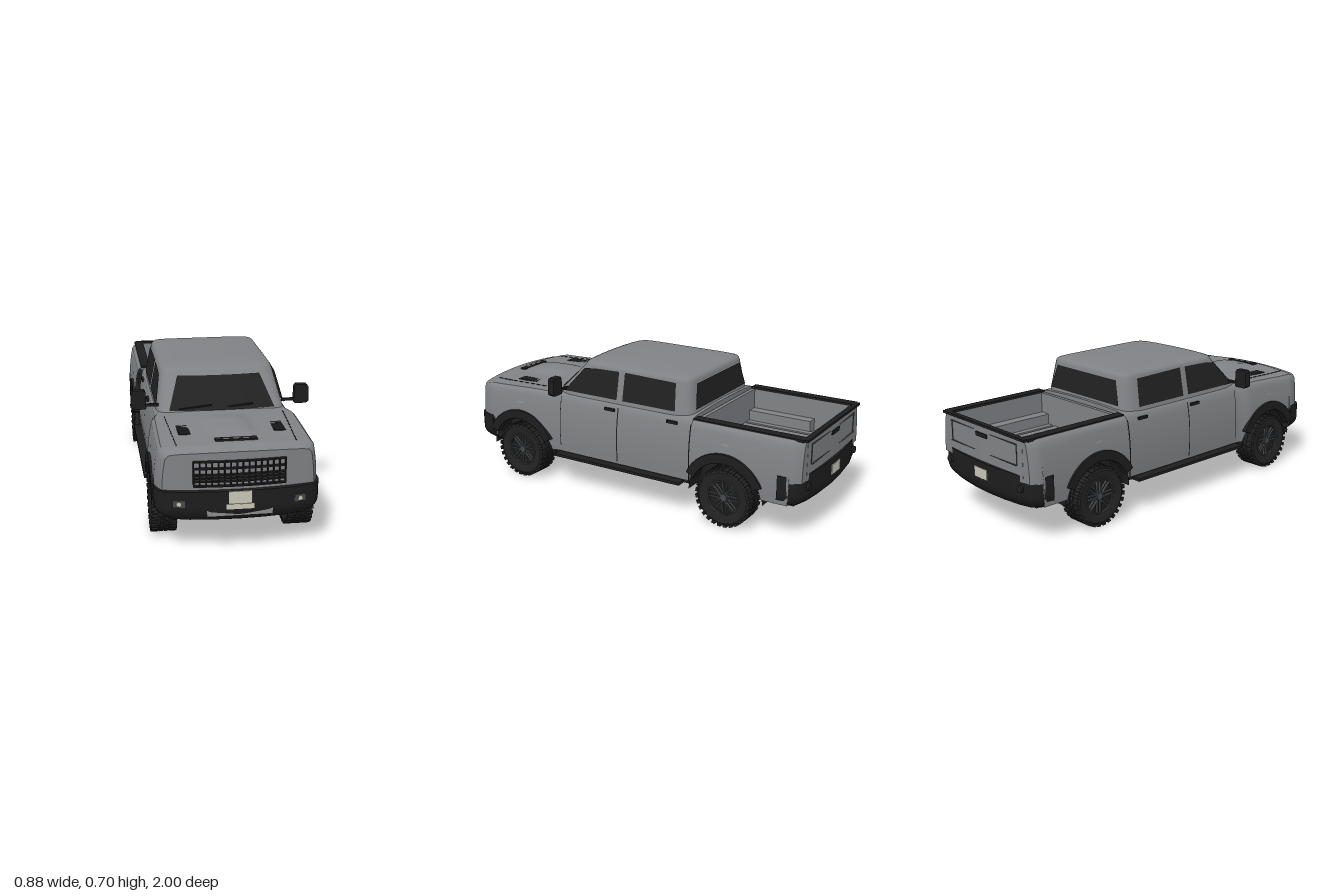
import * as THREE from 'three';
import { toCreasedNormals } from 'three/addons/utils/BufferGeometryUtils.js';

const material = (name, color) => {
  const m = new THREE.MeshStandardMaterial({ color, side: THREE.DoubleSide });
  m.name = name;
  return m;
};
const paint = material('grey paint', 0x808285);
const black = material('black plastic', 0x1d1d1d);
const rubber = material('tyre rubber', 0x232323);
const glass = material('dark glass', 0x212121);
const metal = material('metal', 0x8b8d8f);
const rimGrey = material('rim grey', 0x47494b);
const cream = material('plate cream', 0xc9c7b8);

const AXLES = [0.665, -0.58], HUB_Y = 0.15;
const smooth = THREE.MathUtils.smoothstep;

export function createModel() {
  const truck = new THREE.Group();
  truck.name = 'pickupTruck';
  const add = (name, geo, mat, x = 0, y = 0, z = 0, parent = truck) => {
    const m = new THREE.Mesh(geo, mat);
    m.name = name;
    m.position.set(x, y, z);
    parent.add(m);
    return m;
  };
  const box = (name, mat, w, h, d, x, y, z, parent) => add(name, new THREE.BoxGeometry(w, h, d), mat, x, y, z, parent);

  // Grid surface from a rule giving a point for column i, row j
  const patch = (nu, nv, fn, crease = 0.6) => {
    const pos = [], idx = [];
    for (let i = 0; i <= nu; i++) for (let j = 0; j <= nv; j++) pos.push(...fn(i, j));
    for (let i = 0; i < nu; i++) for (let j = 0; j < nv; j++) {
      const a = i * (nv + 1) + j, b = a + nv + 1;
      idx.push(a, b, a + 1, b, b + 1, a + 1);
    }
    const g = new THREE.BufferGeometry();
    g.setAttribute('position', new THREE.Float32BufferAttribute(pos, 3));
    g.setIndex(idx);
    return toCreasedNormals(g, crease);
  };

  // Body rules: half width, lower edge with wheel openings, belt height, bowed ends
  const width = (y, z) => {
    const fender = Math.max(smooth(z, 0.42, 0.52), z < -0.385 ? 1 : 0);
    const taper = 0.03 * (Math.max(0, (z - 0.88) / 0.095) ** 2 + Math.max(0, (-z - 0.92) / 0.065) ** 2);
    return 0.349 + 0.023 * fender - (y > 0.3 ? 0.6 : 0.4) * (y - 0.3) ** 2 - taper;
  };
  const lowerEdge = z => {
    let y = z > 0.87 || z < -0.93 ? 0.3 : 0.185;
    for (const c of AXLES) if (Math.abs(z - c) < 0.2) y = Math.max(y, HUB_Y + Math.sqrt(0.04 - (z - c) ** 2));
    return y;
  };
  const belt = z => 0.505 - 0.012 * smooth(z, 0.5, 0.9) - 0.016 * smooth(z, 0.9, 0.975);
  const bend = (x, z) => z - 0.28 * x * x * smooth(z, 0.75, 0.97) + 0.12 * x * x * smooth(-z, 0.8, 0.98);
  const hoodY = (x, z) => {
    const scoop = 0.02 * smooth(z, 0.52, 0.66) * (1 - smooth(z, 0.74, 0.9)) * (1 - smooth(Math.abs(x), 0.05, 0.12));
    return belt(z) + 0.013 * (1 - (x / 0.34) ** 2) + scoop;
  };
  const sidePoints = z => {
    const y0 = lowerEdge(z), top = belt(z), pts = [];
    for (let j = 0; j <= 8; j++) {
      const y = y0 + (top - 0.02 - y0) * j / 8;
      pts.push([width(y, z), y]);
    }
    const w = width(top, z);
    pts.push([w - 0.003, top - 0.009], [w - 0.012, top - 0.001]);
    return pts;
  };
  const frontSection = z => [...sidePoints(z), ...[0.28, 0.2, 0.14, 0.12, 0.1, 0.08, 0.06, 0.03, 0].map(x => [x, hoodY(x, z)])];
  const bedSection = z => [...sidePoints(z), [0.285, 0.5], [0.285, 0.33], [0, 0.33]];
  const loft = (z0, z1, n, section) => {
    const m = section(z0).length - 1;
    return patch(n, 2 * m, (i, j) => {
      const z = z0 + (z1 - z0) * i / n;
      const [x, y] = section(z)[j <= m ? j : 2 * m - j];
      return [j <= m ? x : -x, y, bend(x, z)];
    });
  };
  const endCap = (z, pts) => patch(24, pts.length - 1, (i, j) => {
    const x = pts[j][0] * (i / 12 - 1);
    return [x, pts[j][1], bend(x, z)];
  });
  add('frontBody', loft(-0.38, 0.975, 200, frontSection), paint);
  add('nosePanel', endCap(0.975, frontSection(0.975)), paint);
  add('cabBackPanel', endCap(-0.38, frontSection(-0.38)), paint);
  add('cargoBed', loft(-0.39, -0.985, 100, bedSection), paint);
  add('tailgateSkin', endCap(-0.985, sidePoints(-0.985)), paint);
  box('tailgateInner', paint, 0.6, 0.18, 0.03, 0, 0.41, -0.96);
  box('bedFrontWall', paint, 0.62, 0.17, 0.02, 0, 0.415, -0.402);
  for (let i = -4; i <= 4; i++) box('bedRib', paint, 0.036, 0.014, 0.54, i * 0.054, 0.334, -0.68);

  // Cab: rounded rings rising to the crowned roof
  const cabX = y => 0.317 - (y - 0.5) * 0.2;
  const cabFront = y => 0.49 - (y - 0.5);
  const cabRear = y => -0.365 + (y - 0.5) * 0.15;
  const rings = [[0.49, 1], [0.55, 1], [0.61, 1], [0.66, 1], [0.672, 0.992], [0.68, 0.97], [0.685, 0.92], [0.689, 0.8], [0.693, 0.6], [0.696, 0.3], [0.697, 0]];
  add('cab', patch(120, rings.length - 1, (i, j) => {
    const [y, s] = rings[j], a = -i / 120 * Math.PI * 2, c = Math.cos(a), n = Math.sin(a);
    const r = (Math.abs(c) ** 12 + Math.abs(n) ** 12) ** (-1 / 12);
    const yy = Math.min(y, 0.665), x = r * c * cabX(yy) * s, f = cabFront(yy), b = cabRear(yy);
    return [x, y, (f + b) / 2 + r * n * s * (f - b) / 2 - 0.3 * x * x * Math.max(0, r * n)];
  }, 0.9), paint);
  const screen = (y0, y1, x0, x1, zOf) => patch(16, 4, (i, j) => {
    const y = y0 + (y1 - y0) * j / 4, x = (x0 + (x1 - x0) * j / 4) * (i / 8 - 1);
    return [x, y, zOf(x, y)];
  });
  add('windshield', screen(0.518, 0.655, 0.258, 0.205, (x, y) => cabFront(y) - 0.3 * x * x + 0.004), glass);
  add('rearWindow', screen(0.53, 0.65, 0.262, 0.225, (x, y) => cabRear(y) - 0.004), glass);
  for (const x of [-0.13, 0.07]) box('wiper', black, 0.16, 0.005, 0.006, x, 0.533, 0.461).rotation.z = 0.1;

  // Thin details that follow the body side
  const sidePlate = (name, mat, s, z0, z1, y0, y1) => add(name, patch(2, 8, (i, j) => {
    const z = z0 + (z1 - z0) * i / 2, y = y0 + (y1 - y0) * j / 8;
    return [s * (width(y, z) + 0.003), y, z];
  }), mat);

  // Wheel parts, built with the outer face toward +x
  const tyreProfile = [[0.088, -0.05], [0.105, -0.056], [0.13, -0.057], [0.141, -0.05], [0.144, -0.035], [0.144, 0.035],
    [0.141, 0.05], [0.13, 0.057], [0.105, 0.056], [0.088, 0.05], [0.086, 0.03]].map(p => new THREE.Vector2(...p));
  const buildWheel = () => {
    const g = new THREE.Group();
    g.name = 'wheel';
    const turned = (name, geo, mat, x) => { add(name, geo, mat, x, 0, 0, g).rotation.z = -Math.PI / 2; };
    turned('tyre', toCreasedNormals(new THREE.LatheGeometry(tyreProfile, 48), 0.5), rubber, 0);
    turned('rimDisc', new THREE.CylinderGeometry(0.088, 0.088, 0.05, 32), black, 0.005);
    turned('innerDisc', new THREE.CylinderGeometry(0.084, 0.084, 0.01, 32), metal, -0.045);
    turned('hubCap', new THREE.CylinderGeometry(0.018, 0.022, 0.02, 16), rimGrey, 0.038);
    add('rimRing', new THREE.TorusGeometry(0.085, 0.004, 6, 40), rimGrey, 0.049, 0, 0, g).rotation.y = Math.PI / 2;
    for (let i = 0; i < 8; i++) {
      const spoke = new THREE.Group();
      spoke.name = 'spokePair';
      spoke.rotation.x = i * Math.PI / 4;
      for (const k of [-1, 1]) box('spoke', rimGrey, 0.012, 0.07, 0.006, 0.037, 0.049, k * 0.009, spoke);
      g.add(spoke);
    }
    for (let i = 0; i < 28; i++) for (const k of [-1, 1]) {
      const a = (i + (k > 0 ? 0.5 : 0)) / 28 * Math.PI * 2;
      box('treadBlock', rubber, 0.032, 0.012, 0.018, k * 0.043, Math.cos(a) * 0.143, Math.sin(a) * 0.143, g).rotation.x = a;
      box('treadRib', rubber, 0.018, 0.008, 0.022, k * 0.012, Math.cos(a) * 0.145, Math.sin(a) * 0.145, g).rotation.x = a;
    }
    return g;
  };
  const flareShape = new THREE.Shape();
  flareShape.absarc(0, 0, 0.22, 0.45, Math.PI - 0.45, false);
  flareShape.absarc(0, 0, 0.18, Math.PI - 0.45, 0.45, true);
  const flareGeo = new THREE.ExtrudeGeometry(flareShape, { depth: 0.035, bevelSize: 0.004, bevelThickness: 0.004, bevelSegments: 2, curveSegments: 28 });
  flareGeo.rotateY(Math.PI / 2);
  const linerGeo = new THREE.CylinderGeometry(0.2, 0.2, 0.11, 32, 1, true, 0, Math.PI);
  linerGeo.rotateZ(Math.PI / 2);

  for (const s of [1, -1]) {
    for (const c of AXLES) {
      const wheel = buildWheel();
      wheel.position.set(s * 0.32, HUB_Y, c);
      if (s < 0) wheel.rotation.y = Math.PI;
      truck.add(wheel);
      add('wheelArch', flareGeo, black, s > 0 ? 0.343 : -0.378, HUB_Y + 0.003, c);
      add('wheelLiner', linerGeo, black, s * 0.3, HUB_Y, c);
      box('axleStub', black, 0.1, 0.04, 0.04, s * 0.24, HUB_Y, c);
      sidePlate('sideMarker', metal, s, c - 0.02, c + 0.02, 0.417, 0.426);
    }
    // Side windows with the dark pillar between them
    for (const [name, pts] of [['frontWindow', [[0.4, 0.52], [0.285, 0.65], [0.22, 0.658], [0.07, 0.662], [0.07, 0.52]]],
      ['backWindow', [[0.035, 0.52], [0.035, 0.663], [-0.265, 0.657], [-0.275, 0.52]]]]) {
      const g = new THREE.ShapeGeometry(new THREE.Shape(pts.map(p => new THREE.Vector2(...p))));
      const p = g.attributes.position;
      for (let i = 0; i < p.count; i++) p.setXYZ(i, s * (cabX(p.getY(i)) + 0.004), p.getY(i), p.getX(i));
      if (s > 0) g.index.array.reverse();
      g.computeVertexNormals();
      add(name, g, glass);
    }
    // Door lines and handles
    sidePlate('doorGap', black, s, 0.047, 0.053, 0.2, 0.485);
    sidePlate('frontDoorGap', black, s, 0.409, 0.413, 0.22, 0.485);
    for (const z of [0.1, -0.27]) box('doorHandle', black, 0.012, 0.014, 0.06, s * (width(0.47, z) + 0.004), 0.47, z);
    box('runningBoard', black, 0.05, 0.014, 0.77, s * 0.36, 0.173, 0.045);
    // Mirrors
    box('mirrorArm', black, 0.08, 0.012, 0.016, s * 0.345, 0.533, 0.395);
    const shell = new THREE.Shape([[-0.035, 0.005], [-0.03, 0], [0.022, 0], [0.035, 0.01], [0.032, 0.08], [0.024, 0.09], [-0.026, 0.09], [-0.033, 0.08]].map(p => new THREE.Vector2(s * p[0], p[1])));
    add('mirrorHead', new THREE.ExtrudeGeometry(shell, { depth: 0.03, bevelSize: 0.003, bevelThickness: 0.004, bevelSegments: 2 }), black, s * 0.403, 0.518, 0.38);
    // Hood vents and panel lines
    box('hoodVent', black, 0.055, 0.004, 0.125, s * 0.22, hoodY(0.22, 0.71), 0.705);
    for (let i = 0; i < 5; i++) box('ventSlat', rimGrey, 0.05, 0.004, 0.006, s * 0.22, hoodY(0.22, 0.71) + 0.002, 0.655 + i * 0.025);
    for (let i = 0; i < 10; i++) {
      const z = 0.52 + i * 0.041, x = 0.288 - i * 0.002;
      box('hoodLine', black, 0.003, 0.004, 0.026, s * x, hoodY(x, z) + 0.001, bend(x, z));
    }
    // Bed rails and wheel humps
    box('bedRail', black, 0.05, 0.012, 0.575, s * 0.309, 0.504, -0.68);
    add('bedHump', new THREE.BoxGeometry(0.055, 0.07, 0.36), paint, s * 0.2575, 0.36, -0.58);
    // Fog lights and rear corner lamps
    box('fogRecess', rimGrey, 0.055, 0.034, 0.008, s * 0.272, 0.26, 0.978).rotation.y = s * 0.18;
    add('fogLight', new THREE.CylinderGeometry(0.011, 0.011, 0.008, 16), cream, s * 0.273, 0.26, 0.983).rotation.x = Math.PI / 2;
    add('rearLamp', new THREE.CylinderGeometry(0.018, 0.018, 0.012, 16), rubber, s * 0.285, 0.27, -0.983).rotation.x = Math.PI / 2;
    sidePlate('bedGap', black, s, -0.392, -0.386, 0.2, 0.485);
  }
  box('tailgateRail', black, 0.65, 0.012, 0.026, 0, 0.504, -0.972);
  box('tailgateHandle', black, 0.085, 0.02, 0.01, 0, 0.46, -0.986);
  for (const y of [0.375, 0.475]) for (const x of [-0.16, 0.16]) box('tailgateLine', rimGrey, 0.2, 0.003, 0.008, x, y, -0.982);
  for (const x of [-0.26, 0.26]) box('tailgateLine', rimGrey, 0.003, 0.1, 0.008, x, 0.425, -0.976);

  // Bumpers: bowed plan, tucked in toward the bottom
  const bumper = (name, sign, top) => {
    const half = [[0.376, 0.86], [0.374, 0.9], [0.362, 0.935], [0.335, 0.962], [0.25, 0.982], [0.13, 0.994], [0, 0.999]];
    const pts = [...half, ...half.slice(0, -1).reverse().map(([x, z]) => [-x, z])];
    const g = new THREE.ExtrudeGeometry(new THREE.Shape(pts.map(([x, z]) => new THREE.Vector2(x, z))), { depth: top - 0.167, steps: 8, bevelEnabled: false });
    const p = g.attributes.position;
    for (let i = 0; i < p.count; i++) {
      const y = top - p.getZ(i), k = Math.max(0, (0.23 - y) / 0.063);
      p.setXYZ(i, sign * p.getX(i) * (1 - 0.12 * k * k), y, sign * (p.getY(i) - 0.035 * k * k));
    }
    g.computeVertexNormals();
    add(name, toCreasedNormals(g, 0.6), black);
  };
  bumper('frontBumper', 1, 0.315);
  bumper('rearBumper', -1, 0.33);
  box('frontPlate', cream, 0.104, 0.058, 0.006, 0, 0.286, 0.999);
  box('lowerPlate', cream, 0.125, 0.024, 0.005, 0, 0.242, 0.998);
  box('skidBar', metal, 0.296, 0.03, 0.02, 0, 0.21, 0.982);
  box('rearPlate', cream, 0.1, 0.052, 0.006, 0, 0.275, -0.999);

  // Grille bars over the nose panel
  for (let i = 0; i <= 15; i++) {
    const x = -0.205 + i * 0.41 / 15;
    box('grilleUpright', black, 0.005, 0.116, 0.022, x, 0.393, bend(x, 0.98));
  }
  for (const y of [0.336, 0.358, 0.373, 0.388, 0.418, 0.45]) {
    add('grilleBar', patch(16, 3, (i, j) => {
      const x = 0.207 * (i / 8 - 1);
      return [x, y + (j < 2 ? 0.003 : -0.003), bend(x, 0.975) + (j % 3 ? 0.016 : 0)];
    }), black);
  }
  // Front hood lamp strip
  const stripY = hoodY(0, 0.865) + 0.002;
  box('hoodLampStrip', black, 0.19, 0.008, 0.032, 0, stripY, 0.865);
  for (const x of [-0.045, 0, 0.045]) box('hoodLamp', cream, 0.026, 0.004, 0.012, x, stripY + 0.004, 0.867);

  // Underbody
  box('underbody', black, 0.49, 0.12, 1.8, 0, 0.235, 0);
  box('middleFloor', black, 0.67, 0.03, 0.83, 0, 0.182, 0.045);
  box('rearFloor', black, 0.66, 0.03, 0.14, 0, 0.19, -0.86);
  return truck;
}
